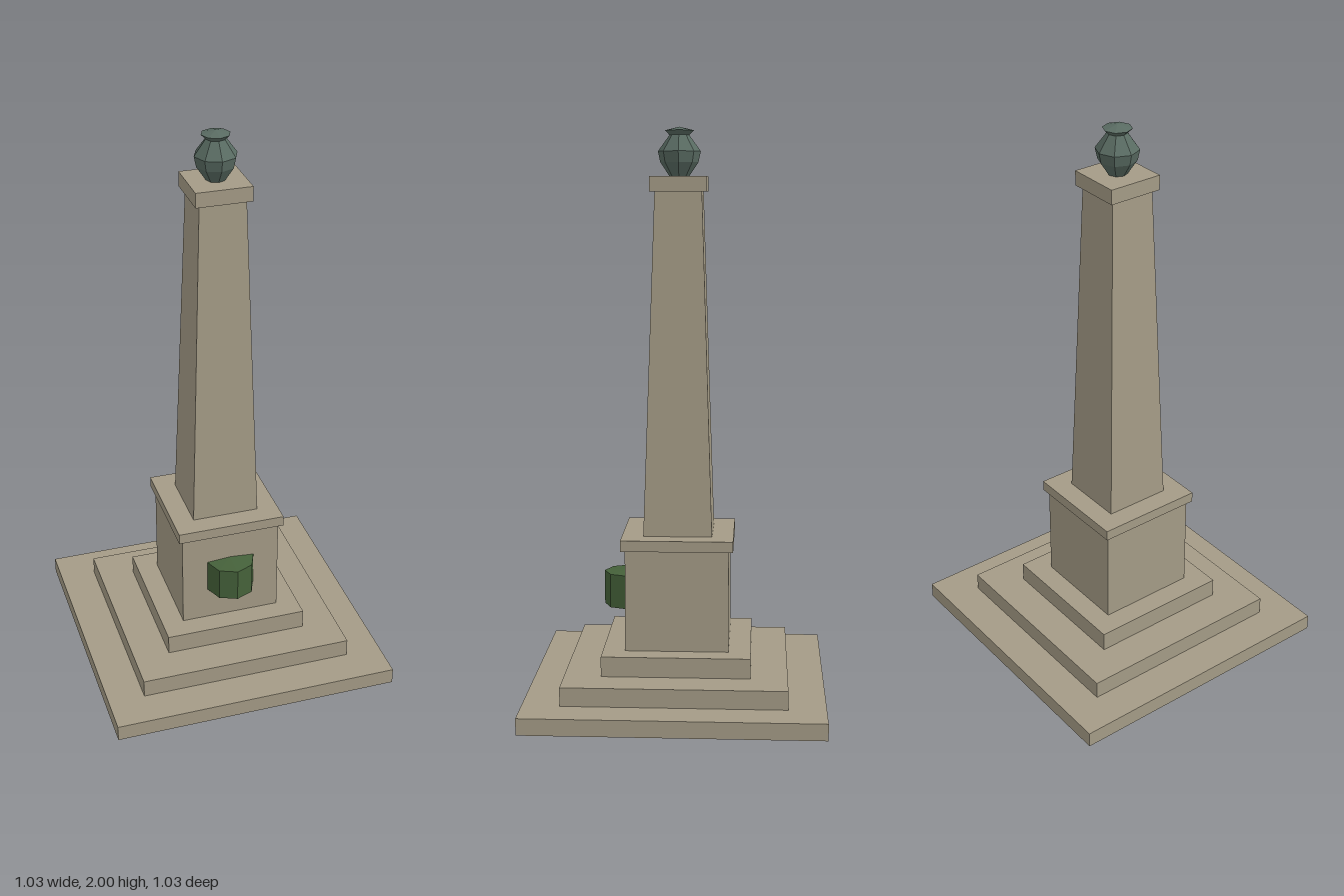
import * as THREE from 'three';

export function createModel() {
  const group = new THREE.Group();
  const material = (name, color) => {
    const m = new THREE.MeshStandardMaterial({ color, flatShading: true });
    m.name = name;
    return m;
  };
  const stone = material('stone', 0xa49b86);
  const bronze = material('darkBronze', 0x596b62);
  const green = material('leafGreen', 0x45613a);

  const add = (name, geometry, mat) => {
    const mesh = new THREE.Mesh(geometry, mat);
    mesh.name = name;
    group.add(mesh);
    return mesh;
  };

  // Square block given by its half width and its bottom and top heights
  const block = (name, half, y0, y1) =>
    add(name, new THREE.BoxGeometry(half * 2, y1 - y0, half * 2), stone).position.y = (y0 + y1) / 2;

  // Eight-sided turned part
  const turned = (name, profile, mat) =>
    add(name, new THREE.LatheGeometry(profile.map(([r, y]) => new THREE.Vector2(r, y)), 8), mat);

  // Steps, pedestal and its cornice
  block('lowerStep', 0.516, 0, 0.058);
  block('middleStep', 0.386, 0.058, 0.123);
  block('upperStep', 0.258, 0.123, 0.193);
  block('pedestal', 0.18, 0.193, 0.55);
  block('pedestalCornice', 0.195, 0.55, 0.588);

  // Tapered square shaft
  const shaft = new THREE.CylinderGeometry(0.081 * Math.SQRT2, 0.12 * Math.SQRT2, 1.192, 4);
  shaft.rotateY(Math.PI / 4);
  add('shaft', shaft, stone).position.y = 1.184;
  block('shaftCap', 0.098, 1.78, 1.832);

  // Urn finial
  turned('urn', [
    [0, 1.832], [0.034, 1.832], [0.066, 1.88], [0.074, 1.917],
    [0.034, 1.972], [0.05, 1.988], [0, 2],
  ], bronze);

  // Wreath, half sunk into the front of the pedestal
  turned('wreath', [[0, -0.067], [0.087, -0.06], [0.087, 0.06], [0, 0.067]], green)
    .position.set(0, 0.376, 0.18);

  return group;
}
